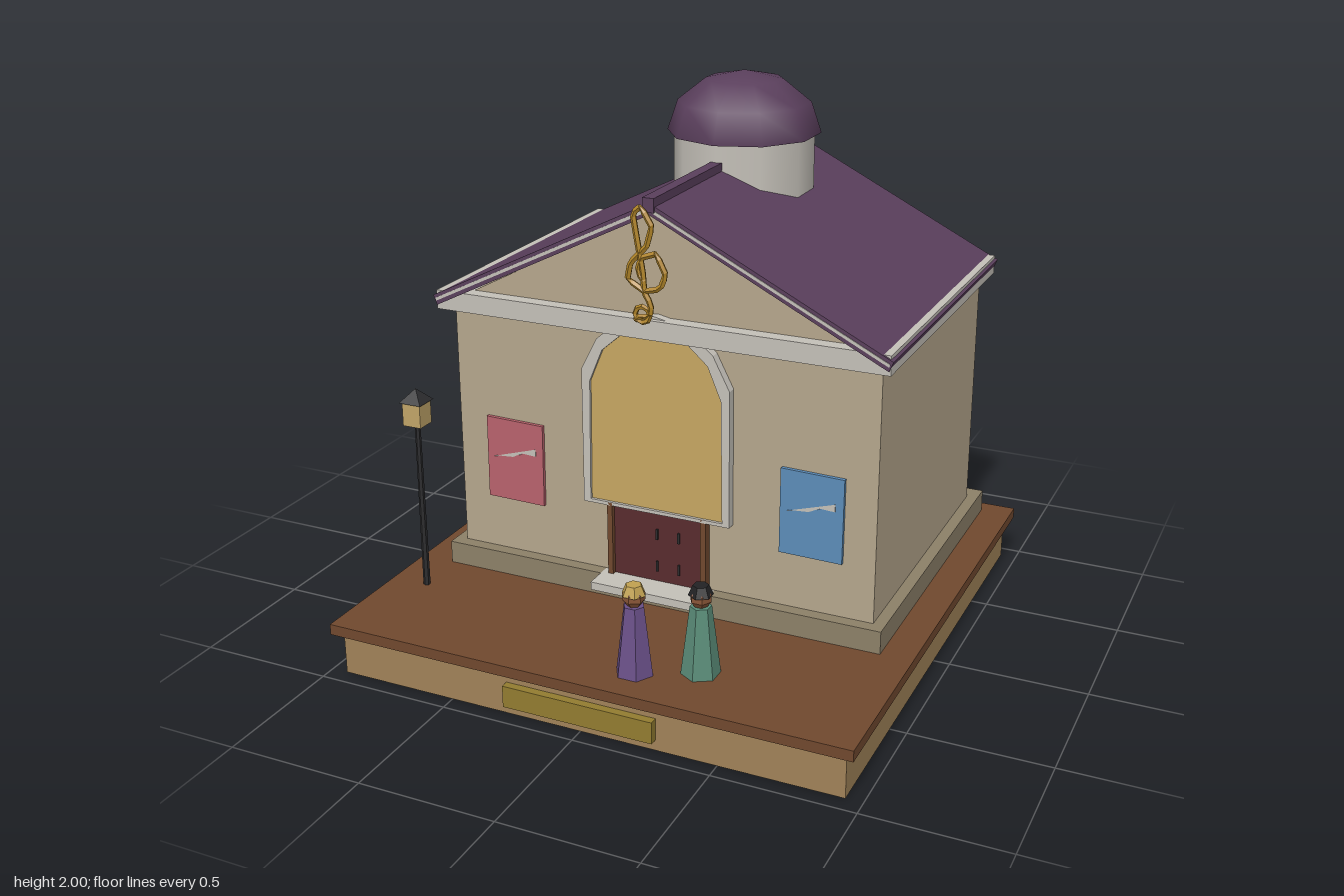
import * as THREE from 'three';

const CX = 0.006; // building's centre line

export function createModel() {
  const model = new THREE.Group();

  const mat = (color, flat = false) =>
    new THREE.MeshStandardMaterial({ color, flatShading: flat, side: THREE.DoubleSide });
  const stone = mat(0xc4c0b8), wallTan = mat(0xb5a68c), roofPurple = mat(0x5a3f5c);
  const timber = mat(0x70482e), gold = mat(0xb08428, true), dark = mat(0x2c2c2e, true);

  const add = (name, geometry, material, x = 0, y = 0, z = 0, parent = model) => {
    const mesh = new THREE.Mesh(geometry, material);
    mesh.name = name;
    mesh.position.set(x, y, z);
    parent.add(mesh);
    return mesh;
  };
  // Box given by its extents on each axis
  const block = (name, material, x0, x1, y0, y1, z0, z1, parent = model) =>
    add(name, new THREE.BoxGeometry(x1 - x0, y1 - y0, z1 - z0), material,
      (x0 + x1) / 2, (y0 + y1) / 2, (z0 + z1) / 2, parent);
  const toShape = (pts) => new THREE.Shape(pts.map(([x, y]) => new THREE.Vector2(x, y)));
  // Outline in the front plane, extruded from z0 to z1
  const slab = (name, material, pts, z0, z1, x = CX, hole = null) => {
    const shape = toShape(pts);
    if (hole) shape.holes.push(toShape(hole));
    return add(name, new THREE.ExtrudeGeometry(shape, { depth: z1 - z0, bevelEnabled: false }),
      material, x, 0, z0);
  };
  // Right half of an outline mirrored into a closed one
  const mirrored = (half) =>
    [...half, ...half.filter(([x]) => x > 0).reverse().map(([x, y]) => [-x, y])];

  // Display base
  block('base', mat(0xa08258), -0.94, 0.94, 0, 0.16, -0.94, 0.94);
  block('baseTop', timber, -0.973, 0.973, 0.16, 0.2, -0.973, 0.973);
  block('plaque', mat(0x927c30), -0.28, 0.28, 0.04, 0.12, 0.93, 0.97);

  // Building body
  block('plinth', mat(0x8c8068), CX - 0.85, CX + 0.85, 0.2, 0.285, -0.905, 0.375);
  block('walls', wallTan, CX - 0.807, CX + 0.807, 0.285, 1.22, -0.825, 0.328);
  block('cornice', stone, CX - 0.85, CX + 0.85, 1.21, 1.28, -0.867, 0.382);
  slab('gable', wallTan, [[-0.8, 1.24], [0.8, 1.24], [0, 1.66]], -0.825, 0.33);

  // Roof with raking trim on both gables
  slab('roof', roofPurple,
    [[0, 1.69], [-0.86, 1.262], [-0.845, 1.227], [0, 1.65], [0.845, 1.227], [0.86, 1.262]],
    -0.876, 0.39);
  for (const z of [-0.879, 0.385]) {
    slab('rakingTrim', stone,
      [[0, 1.676], [-0.85, 1.253], [-0.846, 1.243], [0, 1.664], [0.846, 1.243], [0.85, 1.253]],
      z, z + 0.008);
  }
  block('ridgeBeam', roofPurple, CX - 0.021, CX + 0.021, 1.66, 1.71, -0.884, 0.398);

  // Dome on its drum, ten-sided
  add('drum', new THREE.CylinderGeometry(0.26, 0.26, 0.28, 10), stone, CX, 1.64, -0.414);
  const dome = new THREE.SphereGeometry(0.284, 10, 3, 0, Math.PI * 2, 0, Math.PI / 2);
  dome.rotateY(Math.PI / 2).scale(1, 0.225 / 0.284, 1);
  add('dome', dome, roofPurple, CX, 1.775, -0.414);

  // Doorway
  block('doorStep', stone, -0.21, 0.22, 0.255, 0.285, 0.33, 0.453);
  block('door', mat(0x582c2e), -0.165, 0.18, 0.285, 0.565, 0.32, 0.345);
  for (const x of [-0.185, 0.18]) {
    block('doorJamb', timber, x, x + 0.02, 0.285, 0.565, 0.32, 0.363);
  }
  for (const x of [0.005, 0.09]) {
    for (const y of [0.325, 0.45]) {
      block('doorHandle', dark, x - 0.004, x + 0.004, y, y + 0.04, 0.344, 0.352);
    }
  }

  // Arched window and its surround
  const archOuter = mirrored([[0.283, 0.555], [0.282, 1.06], [0.22, 1.18], [0.12, 1.265], [0, 1.29]]);
  const archInner = mirrored([[0.256, 0.568], [0.25, 1.02], [0.2, 1.14], [0.115, 1.215], [0, 1.235]]);
  slab('archSurround', stone, archOuter, 0.32, 0.363, CX, archInner);
  slab('archWindow', mat(0xc6a662), archInner, 0.32, 0.352);

  // Posters with a brushed paint stroke
  for (const [x, color] of [[-0.568, 0xb8626c], [0.584, 0x5c8cb8]]) {
    slab('poster', mat(color),
      [[-0.117, 0.493], [0.113, 0.49], [0.115, 0.803], [-0.115, 0.808]], 0.325, 0.342, x);
    slab('posterStroke', stone,
      [[-0.09, 0.655], [0.02, 0.678], [0.085, 0.71], [0.085, 0.682], [0.03, 0.685],
        [-0.01, 0.665], [-0.075, 0.66]].map(([a, b]) => [a, b]), 0.34, 0.345, x);
  }

  // Gilded musical ornament on the gable
  const curl = [[-0.035, 1.29], [-0.01, 1.31], [0.02, 1.305], [0.025, 1.35], [0, 1.39],
    [-0.005, 1.46], [-0.03, 1.6], [-0.04, 1.66], [-0.01, 1.685], [0.03, 1.62], [0.01, 1.55],
    [-0.05, 1.49], [-0.062, 1.43], [0, 1.395], [0.06, 1.41], [0.08, 1.46], [0.045, 1.53],
    [-0.01, 1.51], [-0.025, 1.46], [0.0, 1.43]];
  const path = new THREE.CurvePath();
  for (let i = 1; i < curl.length; i++) {
    path.add(new THREE.LineCurve3(
      new THREE.Vector3(...curl[i - 1], 0), new THREE.Vector3(...curl[i], 0)));
  }
  add('gableOrnament', new THREE.TubeGeometry(path, 48, 0.011, 5), gold, 0, 0, 0.418);
  add('ornamentFoot', new THREE.TorusGeometry(0.028, 0.01, 5, 8), gold, -0.008, 1.312, 0.418);

  // Street lamp
  const lamp = new THREE.Group();
  lamp.name = 'streetLamp';
  lamp.position.set(-0.832, 0.2, 0.568);
  model.add(lamp);
  add('lampPost', new THREE.CylinderGeometry(0.01, 0.013, 0.64, 6), dark, 0, 0.32, 0, lamp);
  block('lantern', mat(0xc0a468), -0.036, 0.036, 0.635, 0.73, -0.036, 0.036, lamp);
  add('lanternRoof', new THREE.ConeGeometry(0.062, 0.048, 4).rotateY(Math.PI / 4), dark,
    0, 0.746, 0, lamp);

  // Two visitors in long robes
  const visitor = (x, z, robe, hair, turn) => {
    const person = new THREE.Group();
    person.name = 'visitor';
    person.position.set(x, 0.2, z);
    person.rotation.y = turn;
    model.add(person);
    add('robe', new THREE.CylinderGeometry(0.037, 0.068, 0.25, 6), mat(robe, true), 0, 0.125, 0, person);
    add('head', new THREE.SphereGeometry(0.04, 6, 5), mat(0x8a5638, true), 0, 0.283, 0, person);
    add('hair', new THREE.CylinderGeometry(0.028, 0.043, 0.035, 6), mat(hair, true), 0, 0.308, 0, person);
  };
  visitor(0.148, 0.822, 0x6a5088, 0xc0a050, Math.PI / 6);
  visitor(0.35, 0.735, 0x5a8c78, 0x222224, 0);

  return model;
}
